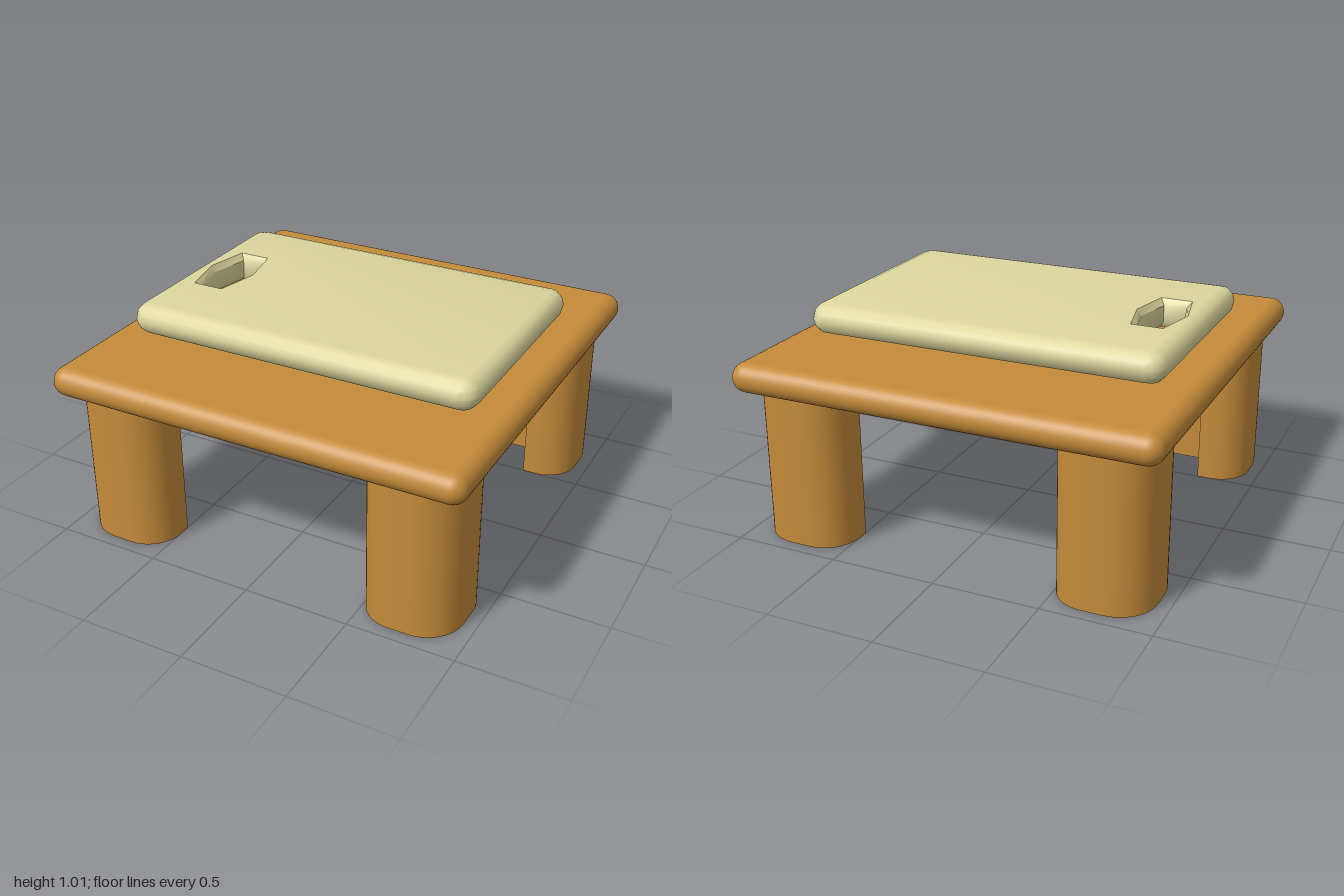
import * as THREE from 'three';
import { mergeGeometries, toCreasedNormals } from 'three/addons/utils/BufferGeometryUtils.js';
import { RoundedBoxGeometry } from 'three/addons/geometries/RoundedBoxGeometry.js';

const wood = new THREE.MeshStandardMaterial({ name: 'warm wood', color: 0xc48b3a });
const cream = new THREE.MeshStandardMaterial({ name: 'pale cream', color: 0xdcd79e });

// Counter-clockwise rectangle outline with rounded corners
function roundedRect(hx, hy, r, n = 4) {
  const pts = [];
  [[1, 1], [-1, 1], [-1, -1], [1, -1]].forEach(([sx, sy], q) => {
    for (let i = 0; i <= n; i++) {
      const a = (q + i / n) * Math.PI / 2;
      pts.push(new THREE.Vector2(sx * (hx - r) + r * Math.cos(a), sy * (hy - r) + r * Math.sin(a)));
    }
  });
  return pts;
}

// Wall through a stack of { pts, z } loops, lowest first
function band(loops) {
  const pos = [], index = [], n = loops[0].pts.length;
  loops.forEach(({ pts, z }) => pts.forEach((p) => pos.push(p.x, p.y, z)));
  for (let k = 0; k < loops.length - 1; k++) {
    for (let i = 0; i < n; i++) {
      const a = k * n + i, b = k * n + (i + 1) % n;
      index.push(a, b, b + n, a, b + n, a + n);
    }
  }
  const g = new THREE.BufferGeometry();
  g.setAttribute('position', new THREE.Float32BufferAttribute(pos, 3));
  g.setIndex(index);
  return g;
}

// Clockwise six-sided handle hole
function holeLoop(flatHalf, tipHalf, length) {
  return [[-flatHalf, length], [flatHalf, length], [tipHalf, 0],
    [flatHalf, -length], [-flatHalf, -length], [-tipHalf, 0]]
    .map(([x, y]) => new THREE.Vector2(x - 0.66, y));
}

// Board slab with round edges and a bevelled handle hole
function boardGeometry() {
  const half = 0.07, round = 0.065, outer = [];
  for (let i = 0; i <= 6; i++) {
    const t = (i / 6 - 0.5) * Math.PI;
    const inset = round * (1 - Math.cos(t));
    outer.push({ pts: roundedRect(0.855 - inset, 0.57 - inset, 0.08 - inset), z: half * Math.sin(t) });
  }
  const rim = holeLoop(0.075, 0.12, 0.21), throat = holeLoop(0.055, 0.1, 0.19);
  const hole = [{ pts: rim, z: -half }, { pts: throat, z: -0.04 }, { pts: throat, z: 0.04 }, { pts: rim, z: half }];

  const face = new THREE.Shape(outer[6].pts);
  face.holes.push(new THREE.Path(rim));
  const top = new THREE.ShapeGeometry(face);
  top.deleteAttribute('uv');
  top.deleteAttribute('normal');
  const bottom = top.clone().rotateX(Math.PI);
  top.translate(0, 0, half);
  bottom.translate(0, 0, -half);
  const merged = mergeGeometries([band(outer), band(hole), top, bottom]);
  return toCreasedNormals(merged.rotateX(-Math.PI / 2), 0.6);
}

// Leg: rounded square post with the inner quarter cut away
function legGeometry() {
  const r = 0.16, o = 0.22;
  const s = new THREE.Shape();
  s.moveTo(0, 0);
  s.lineTo(0, -o);
  s.lineTo(o - r, -o);
  s.absarc(o - r, r - o, r, -Math.PI / 2, 0, false);
  s.absarc(o - 0.18, o - 0.18, 0.18, 0, Math.PI / 2, false);
  s.absarc(r - o, o - r, r, Math.PI / 2, Math.PI, false);
  s.lineTo(-o, 0);
  s.closePath();
  const g = new THREE.ExtrudeGeometry(s, { depth: 0.74, bevelEnabled: false, curveSegments: 6 });
  return toCreasedNormals(g.rotateX(-Math.PI / 2), 0.6);
}

export function createModel() {
  const model = new THREE.Group();
  model.name = 'tableWithBoard';

  const add = (name, geometry, material, x, y, z) => {
    const mesh = new THREE.Mesh(geometry, material);
    mesh.name = name;
    mesh.position.set(x, y, z);
    model.add(mesh);
    return mesh;
  };

  add('tableTop', new RoundedBoxGeometry(2, 0.14, 2, 4, 0.07), wood, 0, 0.78, 0);
  add('cuttingBoard', boardGeometry(), cream, 0, 0.945, 0);

  // Four legs, each turned so its notch faces the centre
  const leg = legGeometry();
  const names = ['backLeftLeg', 'backRightLeg', 'frontRightLeg', 'frontLeftLeg'];
  [[1, -1], [-1, -1], [-1, 1], [1, 1]].forEach(([sx, sz], i) => {
    add(names[i], leg, wood, sx * 0.72, 0, sz * 0.72).rotation.y = i * Math.PI / 2;
  });

  return model;
}
